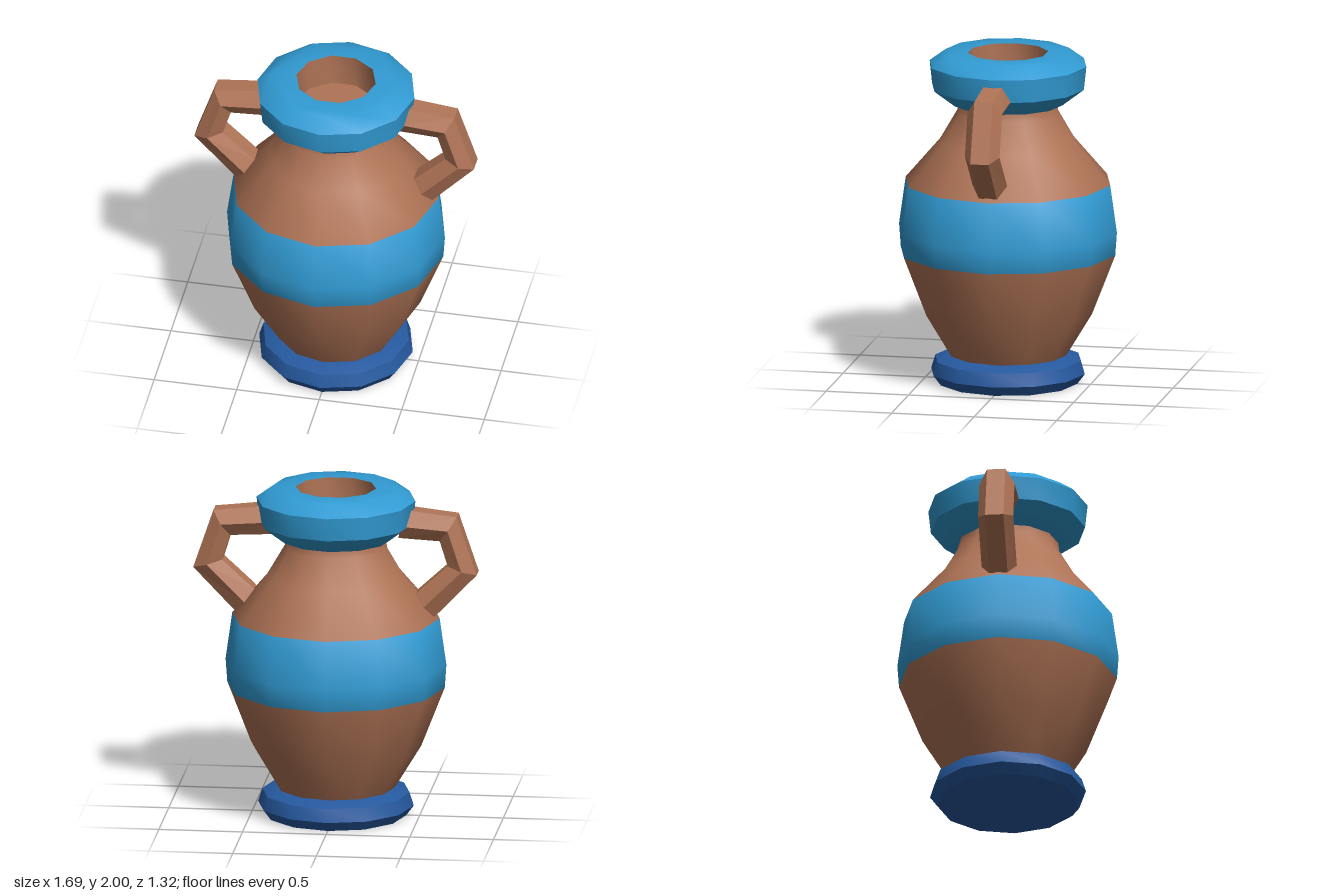
import * as THREE from 'three';
import { mergeGeometries, toCreasedNormals } from 'three/addons/utils/BufferGeometryUtils.js';

const SIDES = 12;
const CREASE = THREE.MathUtils.degToRad(40);

function flat(name, color) {
  const m = new THREE.MeshStandardMaterial({ color });
  m.name = name;
  return m;
}

// Lathe from [radius, height] pairs
function turned(profile, sides = SIDES, start = 0) {
  return new THREE.LatheGeometry(profile.map(([r, y]) => new THREE.Vector2(r, y)), sides, start);
}

function ring(radius, sides) {
  return Array.from({ length: sides }, (_, i) => {
    const a = (i / sides) * Math.PI * 2;
    return new THREE.Vector2(radius * Math.cos(a), radius * Math.sin(a));
  });
}

// Hexagonal bar swept through stations of [outer, middle, inner] points
function handleGeometry(stations) {
  const narrow = 0.055, wide = 0.105;
  const loops = stations.map(([o, m, i]) => [
    [...o, narrow], [...m, wide], [...i, narrow],
    [...i, -narrow], [...m, -wide], [...o, -narrow],
  ]);
  const index = [];
  for (let s = 0; s < loops.length - 1; s++) {
    for (let k = 0; k < 6; k++) {
      const a = s * 6 + k, b = s * 6 + (k + 1) % 6;
      index.push(a, b, a + 6, b, b + 6, a + 6);
    }
  }
  // end caps
  const last = (loops.length - 1) * 6;
  for (let k = 1; k < 5; k++) {
    index.push(0, k + 1, k);
    index.push(last, last + k, last + k + 1);
  }
  const g = new THREE.BufferGeometry();
  g.setAttribute('position', new THREE.Float32BufferAttribute(loops.flat(2), 3));
  g.setIndex(index);
  const out = g.toNonIndexed();
  out.computeVertexNormals();
  return out;
}

export function createModel() {
  const clay = flat('clay', 0xb07456);
  const blue = flat('blueGlaze', 0x319bd3);
  const navy = flat('navyGlaze', 0x265aa0);
  const vase = new THREE.Group();
  vase.name = 'vase';

  function add(name, geometry, material) {
    const mesh = new THREE.Mesh(geometry, material);
    mesh.name = name;
    vase.add(mesh);
    return mesh;
  }

  // Foot
  add('foot', toCreasedNormals(turned([
    [0, 0], [0.42, 0], [0.465, 0.06], [0.44, 0.14], [0.36, 0.17], [0, 0.17],
  ]), CREASE), navy);

  // Body: one smooth surface, the rows of the belly band take the blue material
  const bodyProfile = [
    [0.35, 0.165], [0.51, 0.43], [0.65, 0.79], [0.66, 0.93],
    [0.62, 1.215], [0.41, 1.46], [0.305, 1.64], [0.3, 1.7],
  ];
  const body = turned(bodyProfile);
  const rows = bodyProfile.length - 1;
  for (let i = 0; i < SIDES; i++) {
    const first = i * rows * 6;
    body.addGroup(first, 12, 0);
    body.addGroup(first + 12, 12, 1);
    body.addGroup(first + 24, (rows - 4) * 6, 0);
  }
  add('body', body, [clay, blue]);

  // Lip: turned rim plus a flat top with a ten-sided opening
  const top = new THREE.Shape(ring(0.38, SIDES));
  top.holes.push(new THREE.Path(ring(0.24, 10)));
  const topGeometry = new THREE.ShapeGeometry(top).rotateX(-Math.PI / 2).translate(0, 2, 0);
  const rim = turned([[0.28, 1.69], [0.33, 1.69], [0.46, 1.79], [0.475, 1.93], [0.38, 2]]);
  add('lip', toCreasedNormals(mergeGeometries([rim, topGeometry]), CREASE), blue);

  // Opening: inner wall and floor
  add('opening', toCreasedNormals(
    turned([[0.24, 2], [0.24, 1.8], [0, 1.8]], 10, Math.PI / 2), CREASE), clay);

  // Handles
  const handle = handleGeometry([
    [[0.4, 1.89], [0.4, 1.798], [0.38, 1.716]],
    [[0.727, 1.853], [0.679, 1.777], [0.626, 1.703]],
    [[0.847, 1.5], [0.76, 1.528], [0.674, 1.55]],
    [[0.594, 1.236], [0.536, 1.305], [0.483, 1.375]],
  ]);
  add('leftHandle', handle, clay);
  add('rightHandle', handle, clay).rotation.y = Math.PI;

  return vase;
}
